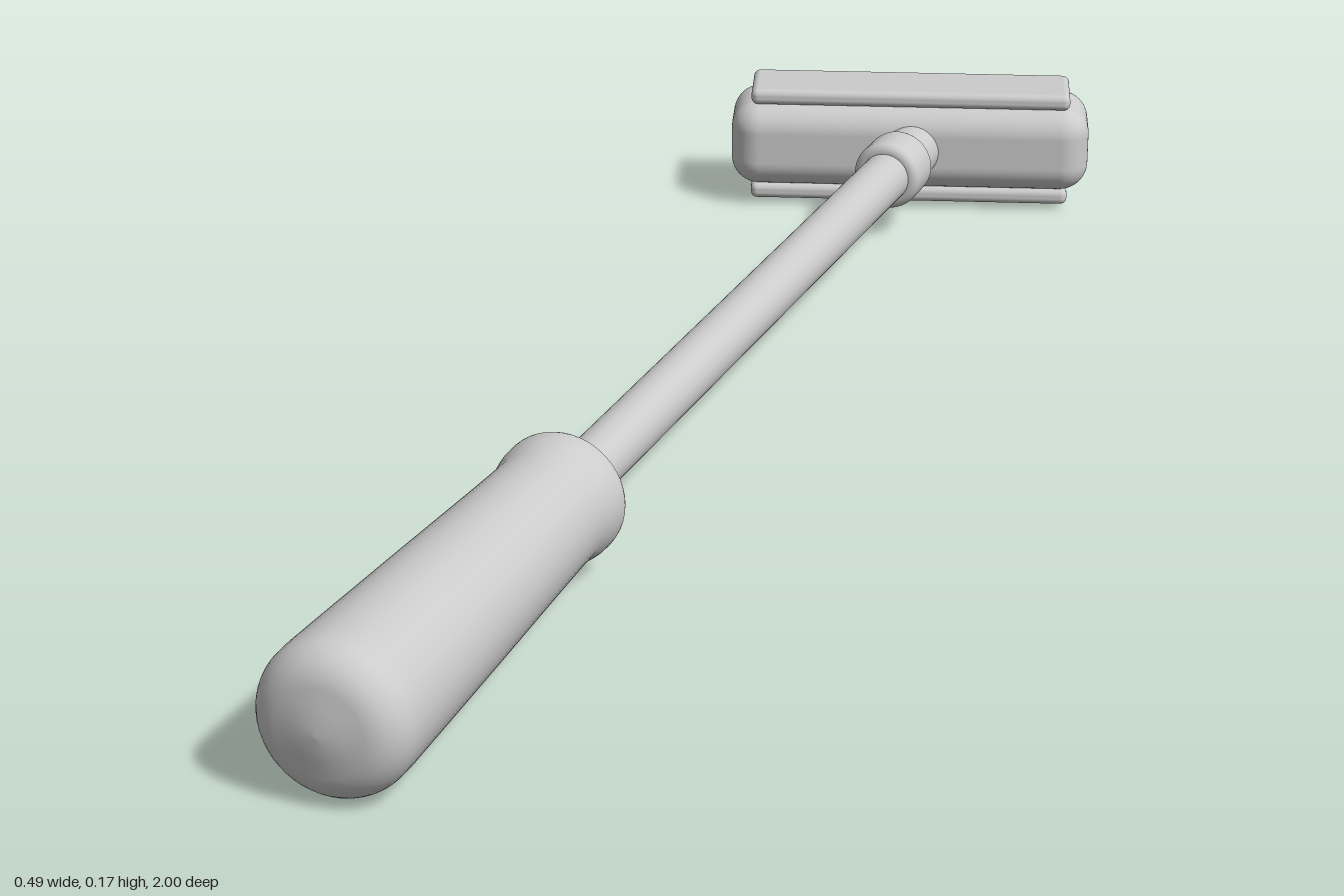
import * as THREE from 'three';
import { RoundedBoxGeometry } from 'three/addons/geometries/RoundedBoxGeometry.js';

const material = new THREE.MeshStandardMaterial({ color: 0xcccccc });

export function createModel() {
  const model = new THREE.Group();

  const add = (name, geometry, parent) => {
    const mesh = new THREE.Mesh(geometry, material);
    mesh.name = name;
    parent.add(mesh);
    return mesh;
  };

  // Turned parts share one axis along z; points are [radius, z], back to front
  const tool = new THREE.Group();
  tool.name = 'handleAssembly';
  tool.position.set(0.022, 0.089, 0);
  model.add(tool);
  const turned = (name, points) => {
    const profile = points.map(([r, z]) => new THREE.Vector2(r, z));
    add(name, new THREE.LatheGeometry(profile, 48).rotateX(Math.PI / 2), tool);
  };

  // Quarter-round corner between two profile directions
  const round = (r, z, radius, from, to, steps = 6) =>
    Array.from({ length: steps + 1 }, (_, i) => {
      const a = THREE.MathUtils.degToRad(from + ((to - from) * i) / steps);
      return [r + radius * Math.cos(a), z + radius * Math.sin(a)];
    });

  // Tapered grip with a flared lip and a domed butt
  turned('grip', [
    [0.034, 0.395], [0.042, 0.386],
    ...round(0.054, 0.401, 0.022, -105, 0, 8),
    [0.0755, 0.415], [0.073, 0.43], [0.071, 0.445], [0.071, 0.47],
    [0.074, 0.56], [0.079, 0.7], [0.084, 0.85], [0.0865, 0.93],
    ...round(0.0415, 0.948, 0.045, 0, 80, 8),
    [0.03, 0.996], [0.015, 0.999], [0, 1],
  ]);

  // Straight rod
  turned('shaft', [[0.033, -0.74], [0.033, 0.42]]);

  // Rounded collar where the rod meets the neck
  turned('collar', [
    [0.03, -0.77],
    ...round(0.034, -0.757, 0.012, -90, 0),
    ...round(0.034, -0.712, 0.012, 0, 90),
    [0.03, -0.7],
  ]);

  // Short neck entering the head
  turned('neck', [[0.037, -0.86], [0.037, -0.76]]);

  // Skewed head with a thin plate above and below
  const head = new THREE.Group();
  head.name = 'head';
  head.position.set(0, 0.089, -0.87);
  head.rotation.y = THREE.MathUtils.degToRad(18);
  model.add(head);
  add('headBlock', new RoundedBoxGeometry(0.49, 0.118, 0.136, 6, 0.038), head);
  for (const side of [1, -1]) {
    const plate = add(side > 0 ? 'topPlate' : 'bottomPlate',
      new RoundedBoxGeometry(0.436, 0.022, 0.098, 4, 0.009), head);
    plate.position.y = side * 0.068;
  }

  return model;
}
